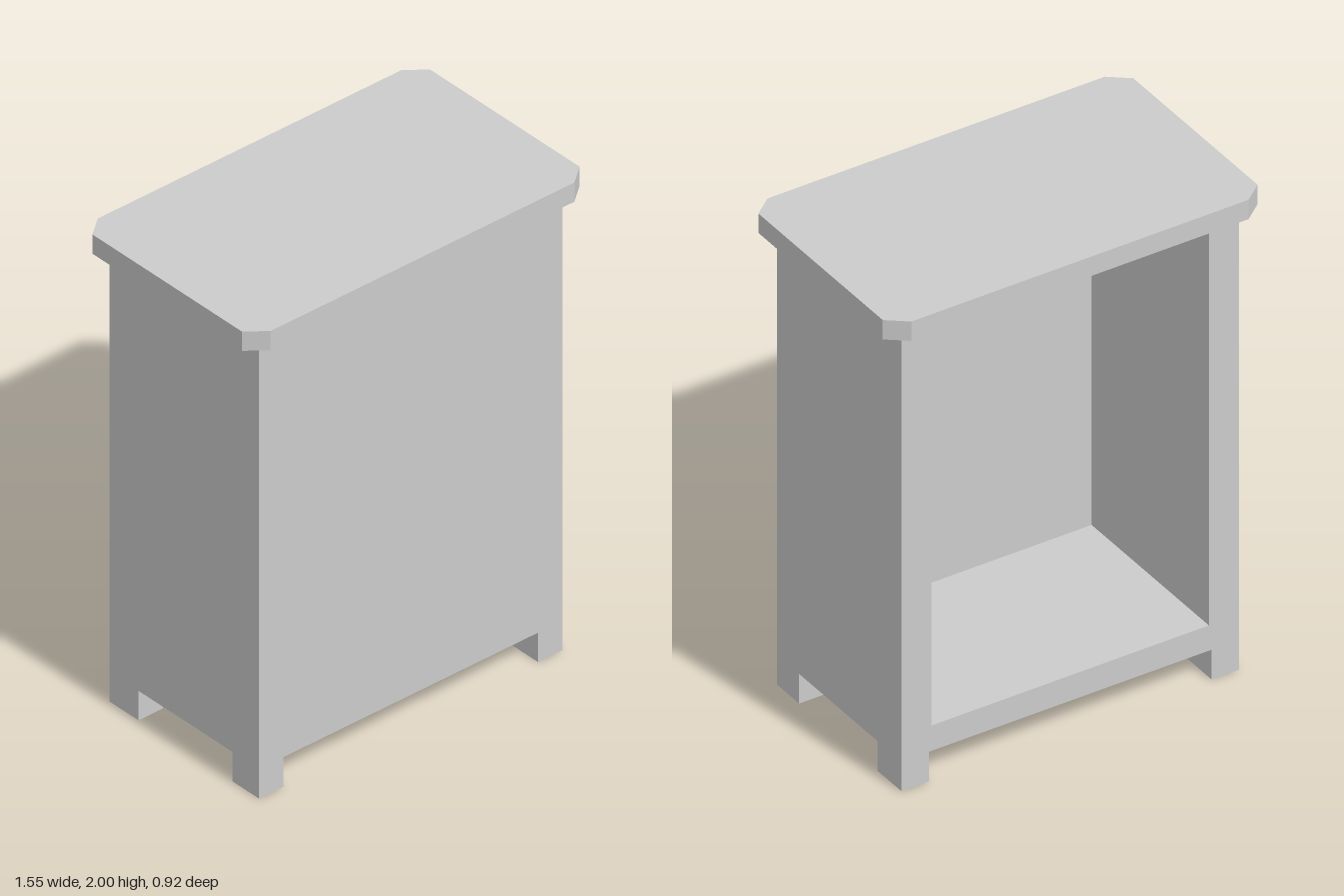
import * as THREE from 'three';

const W = 0.699, D = 0.397;            // half width and half depth of the body
const BASE = 0.124, TOP = 1.919;       // underside of the body, underside of the top board
const FRONT = 0.045;                   // thickness of the front panel

const polygon = (points, Type = THREE.Shape) =>
  new Type(points.map(([x, y]) => new THREE.Vector2(x, y)));

const rect = (x, y0, y1) => [[-x, y0], [x, y0], [x, y1], [-x, y1]];

export function createModel() {
  const group = new THREE.Group();
  const material = new THREE.MeshStandardMaterial({ color: 0xcccccc, flatShading: true });

  const add = (name, geometry, x = 0, y = 0, z = 0) => {
    const mesh = new THREE.Mesh(geometry, material);
    mesh.name = name;
    mesh.position.set(x, y, z);
    group.add(mesh);
    return mesh;
  };

  // Sides, floor and ceiling: one rectangular tube, open at the back
  const frame = polygon(rect(W, BASE, TOP));
  frame.holes.push(polygon(rect(W - 0.124, 0.23, 1.895).reverse(), THREE.Path));
  add('carcass', new THREE.ExtrudeGeometry(frame, { depth: 2 * D - FRONT, bevelEnabled: false }), 0, 0, -D);

  // Closed front
  add('frontPanel', new THREE.BoxGeometry(2 * W, TOP - BASE, FRONT), 0, (TOP + BASE) / 2, D - FRONT / 2);

  // Top board with cut corners, overhanging all round
  const X = 0.777, Z = 0.459;
  const board = polygon([[-W, -Z], [W, -Z], [X, -D], [X, D], [W, Z], [-W, Z], [-X, D], [-X, -D]]);
  const boardGeometry = new THREE.ExtrudeGeometry(board, { depth: 2 - TOP, bevelEnabled: false });
  add('topBoard', boardGeometry.rotateX(-Math.PI / 2), 0, TOP, 0);

  // Four short feet, the back pair slightly deeper
  const footWidth = 0.113;
  for (const sx of [-1, 1]) {
    for (const [sz, depth, end] of [[1, 0.14, 'front'], [-1, 0.155, 'back']]) {
      add(`${end}${sx > 0 ? 'Left' : 'Right'}Foot`, new THREE.BoxGeometry(footWidth, BASE, depth),
        sx * (W - footWidth / 2), BASE / 2, sz * (D - depth / 2));
    }
  }
  return group;
}
